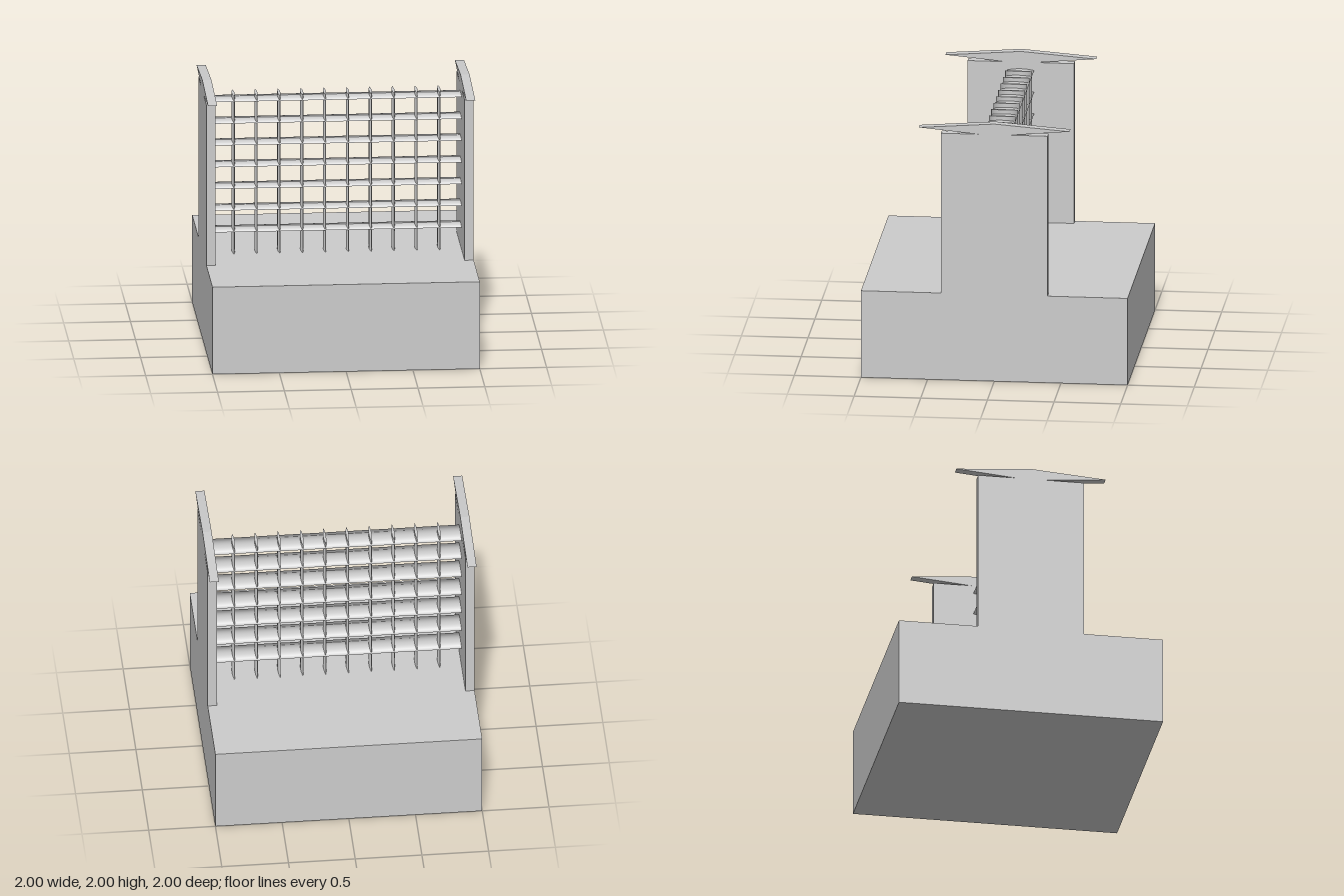
import * as THREE from 'three';

const material = new THREE.MeshStandardMaterial({ color: 0xcccccc });

function add(parent, name, geometry, x = 0, y = 0, z = 0) {
  const mesh = new THREE.Mesh(geometry, material);
  mesh.name = name;
  mesh.position.set(x, y, z);
  parent.add(mesh);
  return mesh;
}

// Lens-section slat along y: wide in z, thin in x, with softly rounded shading
function slatGeometry(length) {
  const geometry = new THREE.CylinderGeometry(1, 1, length, 24);
  const p = geometry.attributes.position;
  for (let i = 0; i < p.count; i++) {
    const x = p.getX(i);
    p.setX(i, 0.011 * x * Math.abs(x));
    p.setZ(i, 0.1 * p.getZ(i));
  }
  return geometry;
}

export function createModel() {
  const model = new THREE.Group();
  model.name = 'screenOnPlinth';

  const baseTop = 0.674, wallTop = 1.917, wallThick = 0.068;
  const wallX = 1 - wallThick / 2;

  // Plinth
  add(model, 'base', new THREE.BoxGeometry(2, baseTop, 2), 0, baseTop / 2);

  // Shallow diamond section for the wall caps, extruded along x
  const capShape = new THREE.Shape([
    new THREE.Vector2(-0.565, 1.957),
    new THREE.Vector2(0, 1.907),
    new THREE.Vector2(0.565, 1.957),
    new THREE.Vector2(0, 2),
  ]);
  const capGeometry = new THREE.ExtrudeGeometry(capShape, { depth: wallThick, bevelEnabled: false });
  capGeometry.translate(0, 0, -wallThick / 2).rotateY(Math.PI / 2);

  // End walls with their caps
  const wallGeometry = new THREE.BoxGeometry(wallThick, wallTop - baseTop, 0.8);
  for (const [side, s] of [['left', 1], ['right', -1]]) {
    add(model, side + 'Wall', wallGeometry, s * wallX, (baseTop + wallTop) / 2);
    add(model, side + 'Cap', capGeometry, s * wallX);
  }

  // Lattice of upright and level slats between the walls
  const lattice = new THREE.Group();
  lattice.name = 'lattice';
  model.add(lattice);

  const latticeTop = 1.895;
  const upright = slatGeometry(latticeTop - baseTop);
  for (let i = 0; i < 10; i++) {
    add(lattice, 'uprightSlat', upright, (i - 4.5) * 0.171, (baseTop + latticeTop) / 2);
  }

  const level = slatGeometry(2 * (1 - wallThick)).rotateZ(Math.PI / 2);
  for (let i = 0; i < 7; i++) {
    add(lattice, 'levelSlat', level, 0, 0.845 + i * 0.1683);
  }

  return model;
}
